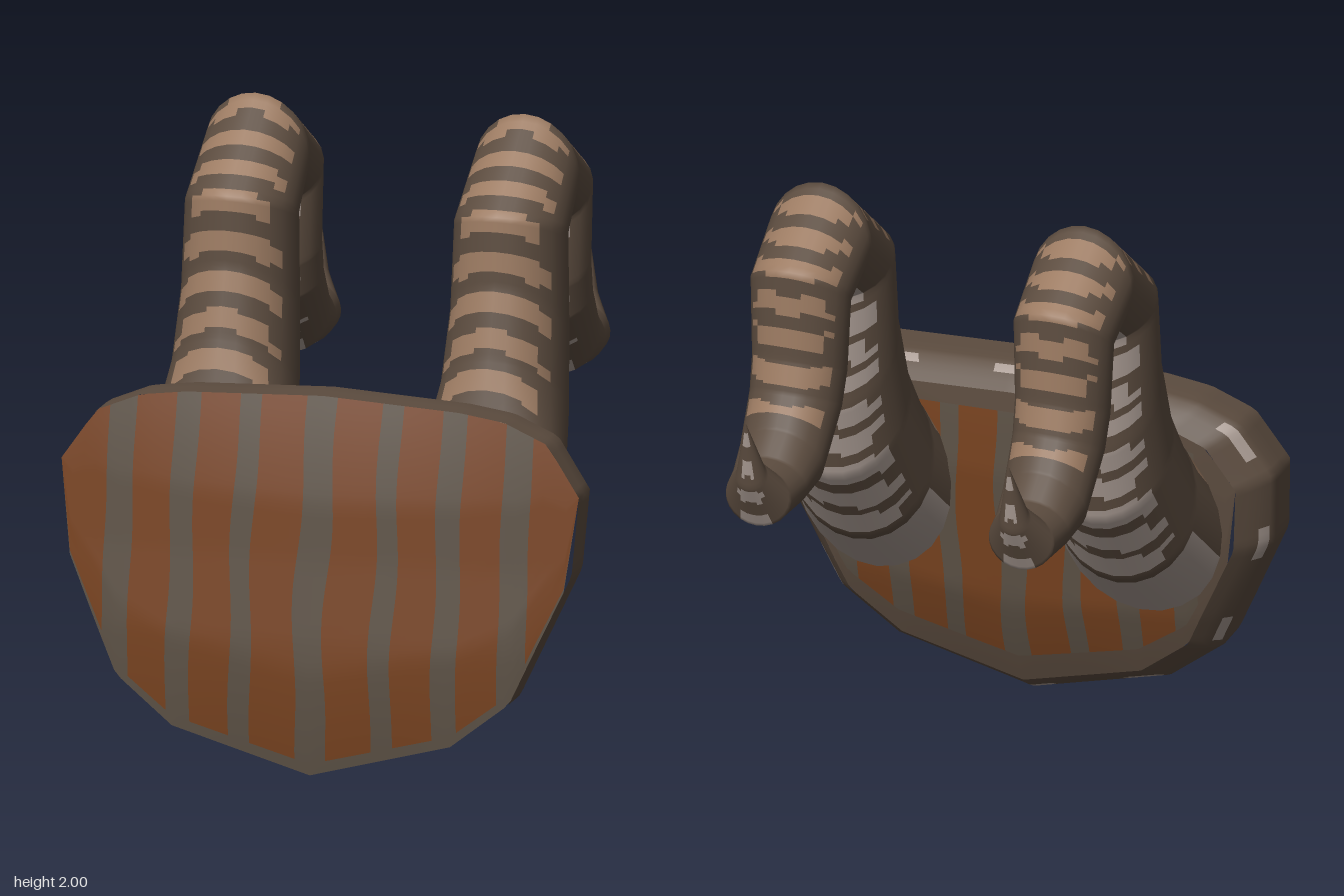
import * as THREE from 'three';

const mat = (name, color) => {
  const m = new THREE.MeshStandardMaterial({ color });
  m.name = name;
  return m;
};

// piecewise linear lookup in [[x, y...], ...]
function lookup(table, x) {
  let i = 1;
  while (i < table.length - 1 && x > table[i][0]) i++;
  const a = table[i - 1], b = table[i];
  const k = THREE.MathUtils.clamp((x - a[0]) / (b[0] - a[0]), 0, 1);
  return THREE.MathUtils.lerp(a[1], b[1], k);
}

// grid surface: point(i, j) places vertices, pick(i, j) chooses a material index per cell
function gridMesh(name, nu, nv, point, pick, materials, { wrap = false, flip = false } = {}) {
  const cols = wrap ? nv : nv + 1, pos = [], buckets = materials.map(() => []);
  for (let i = 0; i <= nu; i++) for (let j = 0; j < cols; j++) pos.push(...point(i, j));
  for (let i = 0; i < nu; i++) for (let j = 0; j < nv; j++) {
    const j2 = (j + 1) % cols;
    const a = i * cols + j, b = i * cols + j2, c = b + cols, d = a + cols;
    buckets[pick(i, j)].push(...(flip ? [a, c, b, a, d, c] : [a, b, c, a, c, d]));
  }
  const geo = new THREE.BufferGeometry();
  geo.setAttribute('position', new THREE.Float32BufferAttribute(pos, 3));
  geo.setIndex(buckets.flat());
  let start = 0;
  buckets.forEach((b, k) => { geo.addGroup(start, b.length, k); start += b.length; });
  geo.computeVertexNormals();
  const mesh = new THREE.Mesh(geo, materials);
  mesh.name = name;
  return mesh;
}

// shield outline: upper and lower edge heights by distance from the middle
const HALF = 0.855, MID_Y = 0.62, BACK = 0.88;
const TOP = [[0, 1.21], [0.45, 1.19], [0.6, 1.17], [0.745, 1.11], [HALF, 0.95]];
const BOTTOM = [[0, 0.005], [0.46, 0.13], [0.65, 0.28], [0.84, 0.7], [HALF, 0.95]];
// depth of the front edge, widest edge and back edge by height
const Z_FRONT = [[0, 0.745], [0.44, 0.7], [0.7, 0.66], [0.95, 0.63], [1.21, 0.6]];
const Z_MID = [[0, 0.63], [0.7, 0.54], [1.21, 0.48]];
const Z_BACK = [[0.05, 0.51], [0.42, 0.45], [0.95, 0.41], [1.14, 0.39]];

// horn sections: outer z, y, inner z, y, half width
const HORN = [
  [0.40, 1.08, 0.44, 0.42, 0.28], [0.38, 1.15, 0.20, 0.64, 0.24],
  [0.33, 1.30, -0.02, 0.95, 0.205], [0.27, 1.52, -0.07, 1.20, 0.19],
  [0.25, 1.74, -0.08, 1.60, 0.182], [-0.06, 2.00, -0.11, 1.625, 0.172],
  [-0.36, 1.82, -0.14, 1.61, 0.165], [-0.38, 1.52, -0.14, 1.40, 0.155],
  [-0.41, 1.42, -0.18, 1.28, 0.15], [-0.47, 1.32, -0.37, 1.07, 0.14],
  [-0.55, 1.255, -0.50, 1.06, 0.125], [-0.61, 1.25, -0.645, 1.06, 0.11],
  [-0.66, 1.30, -0.72, 1.22, 0.05], [-0.74, 1.46, -0.742, 1.46, 0.002],
];

export function createModel() {
  const group = new THREE.Group();
  const brown = mat('dark brown', 0x5c4c3f);
  const grey = mat('grey brown', 0x5c5145);
  const rust = mat('rust', 0x77421f);
  const tan = mat('tan', 0x9c7b62);
  const pale = mat('pale grey', 0xa89a92);

  // striped faces of the shield: columns follow the stripe edges
  const half = [0.05, 0.2, 0.27, 0.4, 0.48, 0.61, 0.7, HALF];
  const edges = [...half.map((x) => -x).reverse(), ...half];
  const SUB = 4, ROWS = 32, columns = (edges.length - 1) * SUB;
  const facePoint = (i, j, scale, zTable, bulge) => {
    const s = Math.min(Math.floor(i / SUB), edges.length - 2), t = j / ROWS;
    let x = THREE.MathUtils.lerp(edges[s], edges[s + 1], i / SUB - s);
    x += 0.014 * Math.sin(11 * t + 7 * x) * (1 - Math.abs(x) / HALF) * Math.sin(Math.PI * t);
    const ax = Math.abs(x);
    const y = THREE.MathUtils.lerp(lookup(BOTTOM, ax), lookup(TOP, ax), t);
    const ys = MID_Y + (y - MID_Y) * scale;
    const dome = (1 - (x / HALF) ** 2) * Math.min(1, 5 * t * (1 - t));
    return [x * scale, ys, lookup(zTable, ys) + bulge * dome];
  };
  const stripe = (i) => (Math.floor(i / SUB) % 2 === 0 ? 1 : 0);
  group.add(gridMesh('shieldFront', columns, ROWS,
    (i, j) => facePoint(i, j, 1, Z_FRONT, 0.05),
    (i, j) => (j >= 1 ? stripe(i) : 0), [grey, rust], { flip: true }));
  group.add(gridMesh('shieldBack', columns, ROWS,
    (i, j) => facePoint(i, j, BACK, Z_BACK, -0.045),
    (i, j) => (j > 2 && j < 30 && i >= SUB && i < columns - SUB ? stripe(i) : 2),
    [grey, rust, brown]));

  // rim: outline swept from the front edge to the back edge, with pale dashes
  const right = [...TOP, ...BOTTOM.slice(0, -1).reverse()];
  const loop = [...right, ...right.slice(1, -1).reverse().map(([x, y]) => [-x, y])];
  const path = new THREE.CurvePath();
  loop.forEach((p, k) => path.add(new THREE.LineCurve(
    new THREE.Vector2(...p), new THREE.Vector2(...loop[(k + 1) % loop.length]))));
  const AROUND = 180;
  const ring = Array.from({ length: AROUND }, (_, j) => path.getPoint(j / AROUND));
  const layers = [-1, -0.5, 0, 0.22, 0.5, 0.75, 1];
  group.add(gridMesh('shieldRim', layers.length - 1, AROUND, (i, j) => {
    const { x, y } = ring[j], k = layers[i];
    const s = k < 0 ? 1 : 1 - (1 - BACK) * k ** 1.4;
    const ys = MID_Y + (y - MID_Y) * s;
    const mid = lookup(Z_MID, ys);
    const z = k < 0 ? THREE.MathUtils.lerp(mid, lookup(Z_FRONT, ys), -k)
      : THREE.MathUtils.lerp(mid, lookup(Z_BACK, ys), k);
    return [x * s, ys, z];
  }, (i, j) => {
    const v = Math.sin(j * 0.42 + 1.57) + 0.4 * Math.sin(j * 0.9 + 1);
    return i === 3 && v > 0.35 ? 1 : 0;
  }, [brown, pale], { wrap: true }));

  // horns: elliptical sections resampled finely so that the bands can be coloured
  const STEPS = 14, SIDES = 24, rings = (HORN.length - 1) * STEPS;
  const section = (i) => {
    const k = Math.min(Math.floor(i / STEPS), HORN.length - 2), f = i / STEPS - k;
    return HORN[k].map((v, n) => THREE.MathUtils.lerp(v, HORN[k + 1][n], f));
  };
  // running lengths along the outer and inner curves
  const outer = [0], inner = [0];
  for (let i = 0; i < rings; i++) {
    const a = section(i), b = section(i + 1);
    outer.push(outer[i] + Math.hypot(b[0] - a[0], b[1] - a[1]));
    inner.push(inner[i] + Math.hypot(b[2] - a[2], b[3] - a[3]));
  }
  const fract = (v) => v - Math.floor(v);
  const band = (i, j) => {
    let a = ((j + 0.5) / SIDES) * 2 * Math.PI;
    if (a > Math.PI) a -= 2 * Math.PI;
    a = Math.abs(a);
    const o = outer[i], n = inner[i];
    // tan bands on the outer side
    const reach = 0.95 + 0.15 * Math.sin(o * 37);
    if (a < reach && o < 1.9) return fract((o + 0.025 * a * a) / 0.125) < 0.52 ? 1 : 0;
    // pale bands on the inner side, broad at the root
    const b = Math.PI - a;
    if (n < 0.3) return b < 1.35 ? 2 : 0;
    const width = n < 1.4 ? 0.95 : 0.6;
    const period = n < 0.75 ? 0.15 : 0.11;
    if (b < width + 0.12 * Math.sin(n * 31)) {
      return fract((n - 0.34 + 0.02 * b * b) / period) < (n < 1.4 ? 0.66 : 0.5) ? 2 : 0;
    }
    return 0;
  };
  for (const side of [1, -1]) {
    const horn = gridMesh(side > 0 ? 'leftHorn' : 'rightHorn', rings, SIDES, (i, j) => {
      const [oz, oy, iz, iy, w] = section(i);
      const a = (j / SIDES) * 2 * Math.PI, c = Math.cos(a);
      return [0.02 + side * (0.445 + w * Math.sin(a)),
        (oy + iy) / 2 + ((oy - iy) / 2) * c, (oz + iz) / 2 + ((oz - iz) / 2) * c];
    }, band, [brown, tan, pale], { wrap: true, flip: side < 0 });
    group.add(horn);
  }
  return group;
}
